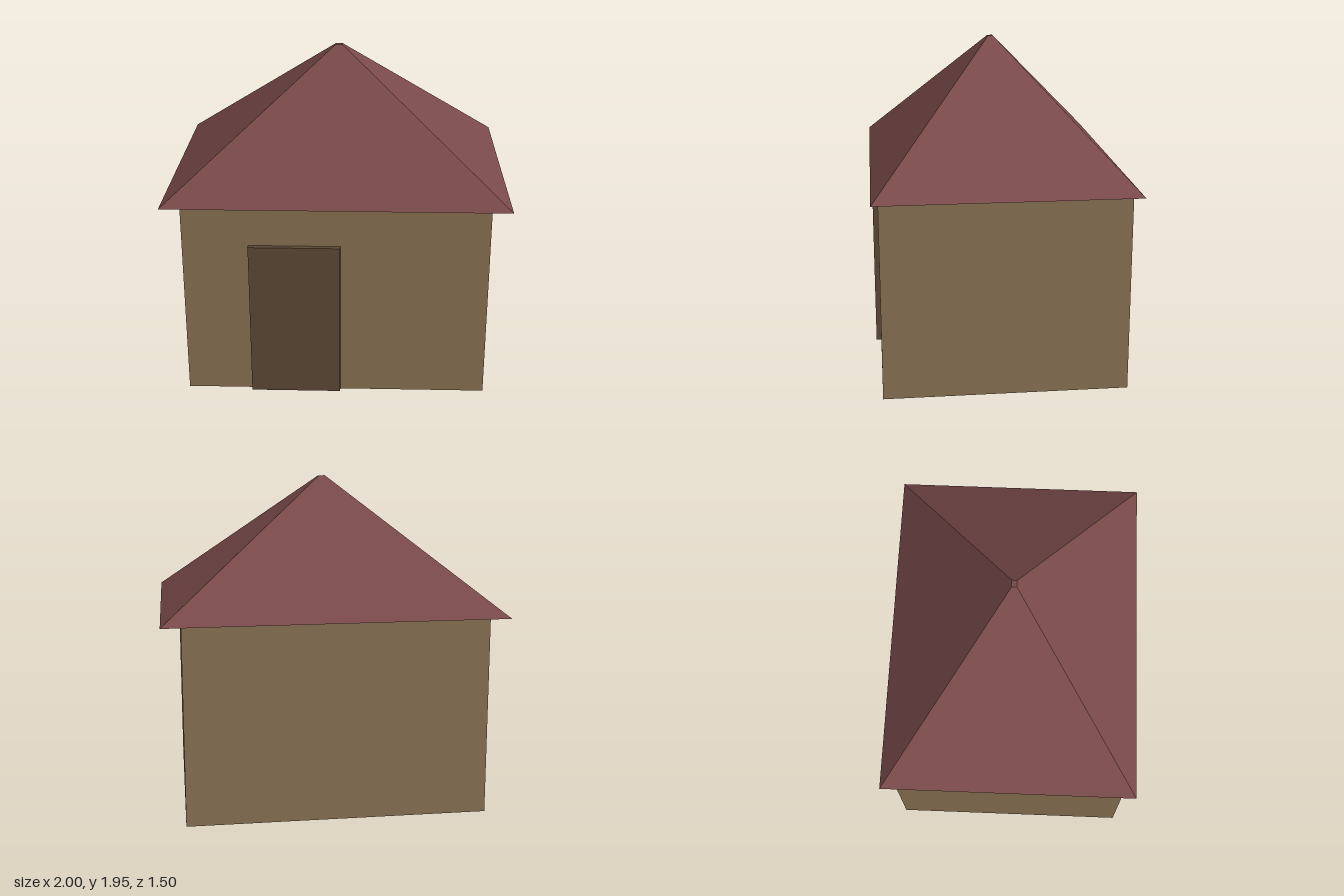
import * as THREE from 'three';

const material = (name, color) => {
  const m = new THREE.MeshStandardMaterial({ color });
  m.name = name;
  return m;
};

export function createModel() {
  const house = new THREE.Group();
  house.name = 'house';

  const wallPaint = material('tan wall', 0x8b7355);
  const roofPaint = material('dull red roof', 0x7a4a4a);
  roofPaint.flatShading = true;
  const doorPaint = material('brown door', 0x5e4a37);

  const add = (name, geometry, mat, x, y, z) => {
    const mesh = new THREE.Mesh(geometry, mat);
    mesh.name = name;
    mesh.position.set(x, y, z);
    house.add(mesh);
  };

  // Plain box body
  const wallHeight = 1.18, wallDepth = 1.42;
  add('walls', new THREE.BoxGeometry(1.77, wallHeight, wallDepth), wallPaint, 0, wallHeight / 2, 0);

  // Four-sided roof with a tiny flat top, overhanging the walls
  const roofHeight = 0.77;
  const roof = new THREE.CylinderGeometry(0.02 * Math.SQRT1_2, Math.SQRT1_2, roofHeight, 4, 1);
  roof.rotateY(Math.PI / 4);
  roof.scale(2, 1, 1.5);
  add('roof', roof, roofPaint, 0, wallHeight + roofHeight / 2, 0);

  // Door slab standing proud of the front wall, off centre
  add('door', new THREE.BoxGeometry(0.53, 0.945, 0.06), doorPaint, -0.237, 0.4725, wallDepth / 2);

  return house;
}
